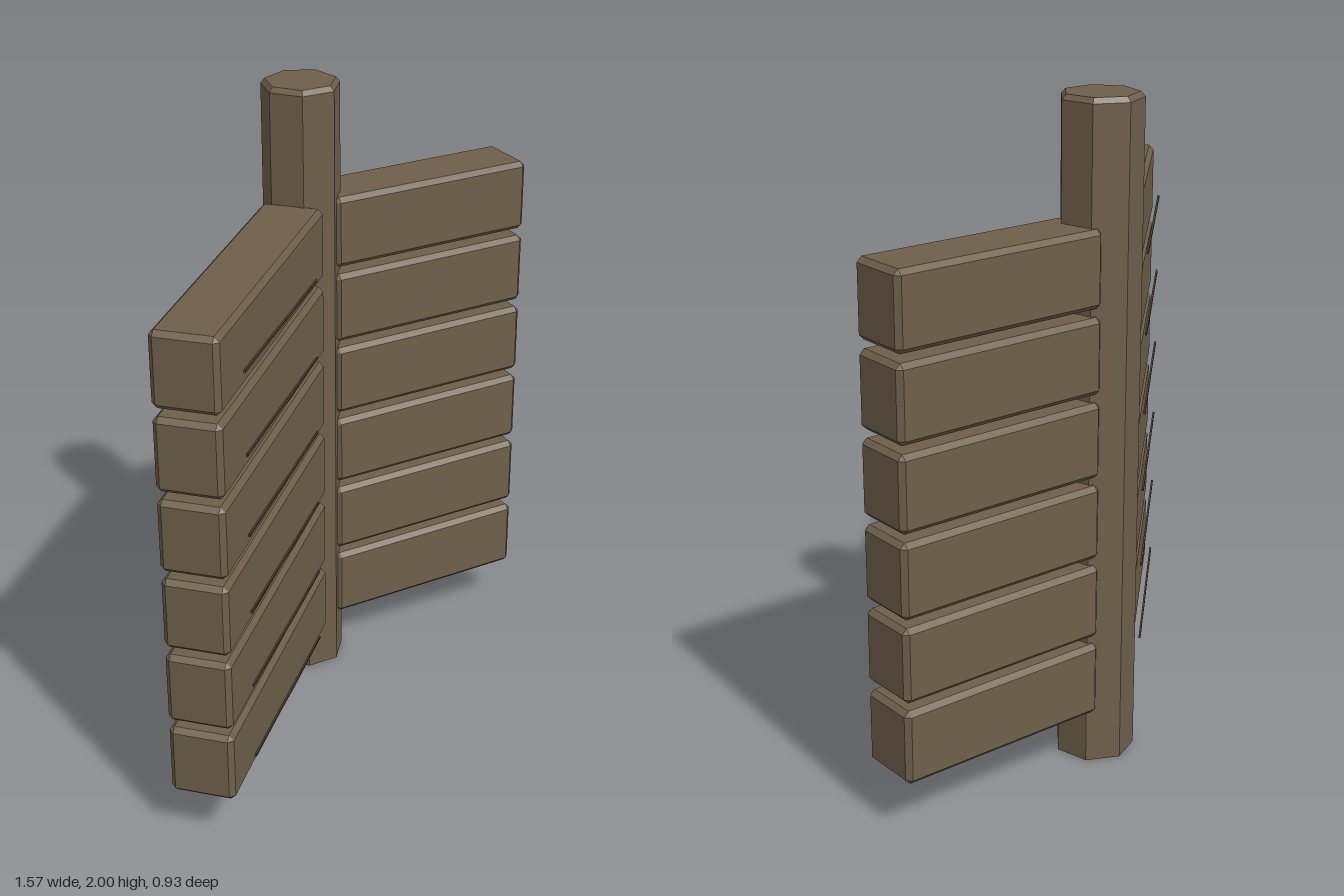
import * as THREE from 'three';
import { ConvexGeometry } from 'three/addons/geometries/ConvexGeometry.js';

// Box with every edge chamfered by c
function chamferBox(w, h, d, c) {
  const pts = [];
  for (const sx of [-1, 1]) for (const sy of [-1, 1]) for (const sz of [-1, 1]) {
    const [x, y, z] = [w / 2, h / 2, d / 2];
    pts.push(
      new THREE.Vector3(sx * x, sy * (y - c), sz * (z - c)),
      new THREE.Vector3(sx * (x - c), sy * y, sz * (z - c)),
      new THREE.Vector3(sx * (x - c), sy * (y - c), sz * z));
  }
  return new ConvexGeometry(pts);
}

export function createModel() {
  const wood = new THREE.MeshStandardMaterial({ color: 0x6e5f4b, flatShading: true });
  wood.name = 'brown wood';
  const dark = new THREE.MeshStandardMaterial({ color: 0x483d2e, flatShading: true });
  dark.name = 'dark wood grain';

  const model = new THREE.Group();
  model.name = 'cornerFence';
  const add = (parent, name, geometry, material, x, y, z) => {
    const mesh = new THREE.Mesh(geometry, material);
    mesh.name = name;
    mesh.position.set(x, y, z);
    parent.add(mesh);
    return mesh;
  };

  // Seven-sided corner post with a chamfered top
  const px = 0.0225, pz = -0.345, r = 0.121;
  add(model, 'post', new THREE.CylinderGeometry(r, r, 1.985, 7, 1, false, Math.PI), wood, px, 0.9925, pz);
  add(model, 'postCap', new THREE.CylinderGeometry(r - 0.013, r, 0.015, 7, 1, false, Math.PI), wood, px, 1.9925, pz);

  // Plank stacks: one straight, one turned forward by 45 degrees
  const straight = chamferBox(0.69, 0.226, 0.195, 0.015);
  const angled = chamferBox(0.965, 0.226, 0.195, 0.015);
  const angledWall = new THREE.Group();
  angledWall.name = 'angledWall';
  angledWall.position.set(-0.386, 0, 0.0625);
  angledWall.rotation.y = Math.PI / 4;
  model.add(angledWall);

  // Thin grain sliver, slightly falling towards the post
  const sliver = new THREE.Shape([
    [-0.333, 0.012], [-0.1, 0.007], [0.07, 0.001], [0.333, -0.004],
    [0.333, -0.011], [0.05, -0.007], [-0.1, 0], [-0.333, 0.004],
  ].map(([x, y]) => new THREE.Vector2(x, y)));
  const grain = new THREE.ExtrudeGeometry(sliver, { depth: 0.006, bevelEnabled: false });
  grain.translate(0, 0, -0.003);

  for (let i = 0; i < 6; i++) {
    const y = 0.278 + i * 0.2505;
    add(model, 'straightPlank', straight, wood, 0.435, y, -0.3475);
    add(angledWall, 'angledPlank', angled, wood, 0, y, 0);
    for (const side of [-1, 1]) {
      add(angledWall, 'grainLine', grain, dark, -0.02, y - 0.042, side * 0.122);
    }
  }
  return model;
}
